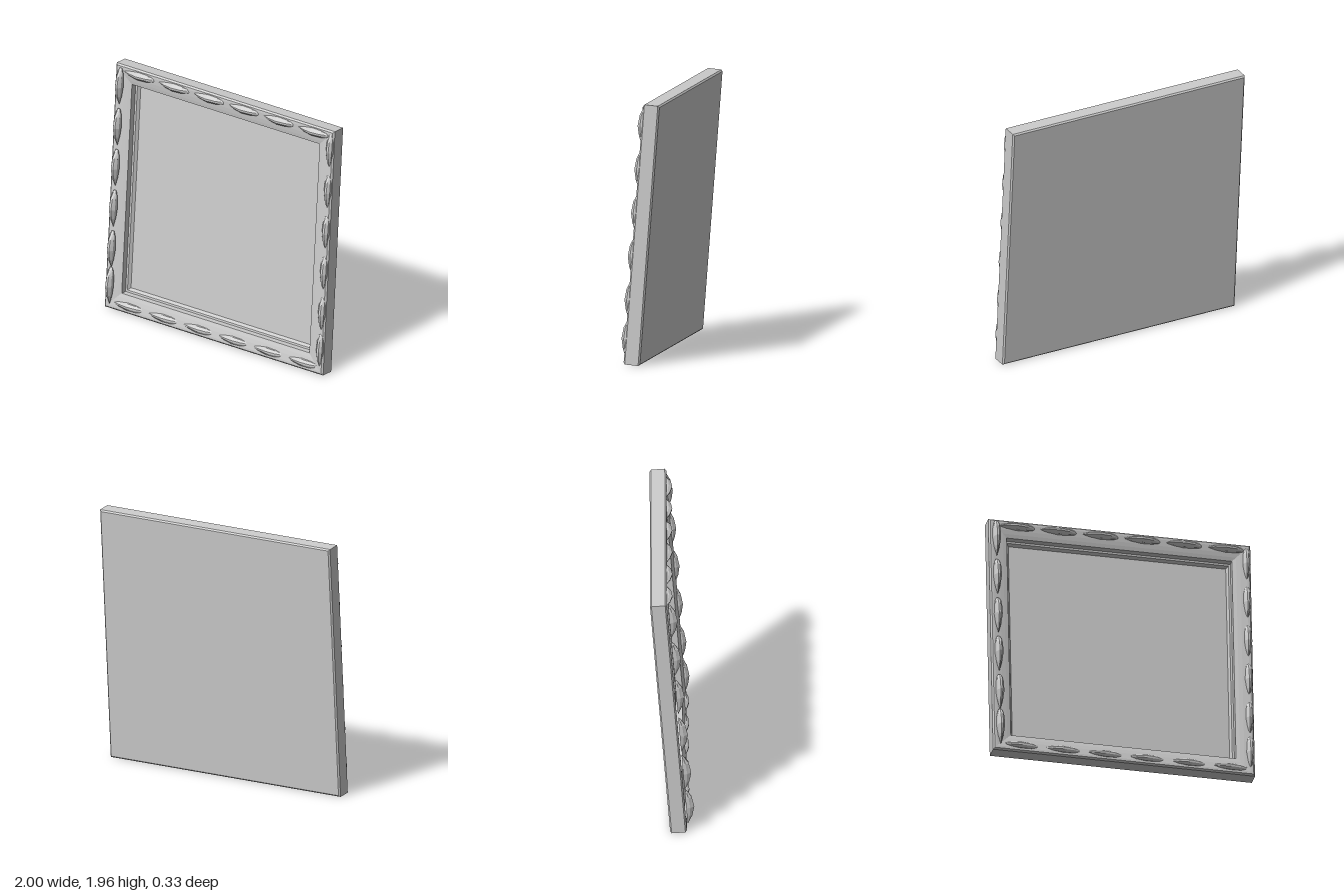
import * as THREE from 'three';

const W = 2, H = 1.957, TILT = 0.077;

// Build a flat-shaded solid from equal-length rings of points, capped at both ends
function loft(rings) {
  const n = rings[0].length, pos = [], index = [];
  rings.forEach(r => r.forEach(p => pos.push(...p)));
  for (let i = 0; i + 1 < rings.length; i++) {
    for (let j = 0; j < n; j++) {
      const a = i * n + j, b = i * n + (j + 1) % n;
      index.push(a, b, b + n, a, b + n, a + n);
    }
  }
  const last = (rings.length - 1) * n;
  for (let j = 1; j + 1 < n; j++) {
    index.push(0, j + 1, j);
    index.push(last, last + j, last + j + 1);
  }
  const g = new THREE.BufferGeometry();
  g.setAttribute('position', new THREE.Float32BufferAttribute(pos, 3));
  g.setIndex(index);
  const flat = g.toNonIndexed();
  flat.computeVertexNormals();
  return flat;
}

// Carved leaf along +y: pointed at the bottom, blunt at the top, bulging to +z
function leafGeometry(length, halfWidth, rise, base) {
  // [position along the leaf, width factor, bulge factor]
  const stations = [
    [0, 0.05, 0.03], [0.24, 0.65, 0.66], [0.5, 1, 1],
    [0.78, 0.92, 0.78], [0.93, 0.65, 0.36], [1, 0.35, 0.06],
  ];
  return loft(stations.map(([t, w, h]) => {
    const y = (t - 0.5) * length, x = halfWidth * w, z = base + rise * h;
    const mid = base + rise * h * 0.5;
    return [
      [x, y, base], [-x, y, base], [-x * 0.85, y, mid],
      [-x * 0.2, y, z], [x * 0.35, y, base + rise * h * 0.95], [x * 0.95, y, mid],
    ];
  }));
}

export function createModel() {
  const root = new THREE.Group();
  root.name = 'leaningFrame';
  const leaning = new THREE.Group();
  leaning.name = 'tiltedBody';
  leaning.rotation.x = -TILT;
  leaning.position.z = -0.014;
  root.add(leaning);
  const material = new THREE.MeshStandardMaterial({ color: 0xcccccc, flatShading: true });

  // Moulding profile [inset from the outer edge, depth], from the back to the panel
  const profile = [
    [0.011, 0], [0, 0.011], [0, 0.113], [0.012, 0.125], [0.03, 0.125],
    [0.08, 0.118], [0.11, 0.112], [0.14, 0.104], [0.14, 0.055], [0.155, 0.053], [0.17, 0.03],
  ];
  const frame = new THREE.Mesh(loft(profile.map(([w, d]) => {
    const x = W / 2 - w;
    return [[-x, w, d], [x, w, d], [x, H - w, d], [-x, H - w, d]];
  })), material);
  frame.name = 'frameAndPanel';
  leaning.add(frame);

  // Six leaves on each side; the row on the -x side stands furthest out
  const sideY = i => (i === 0 ? 0.19 : 0.155 + i * 0.327);
  const crossX = i => -0.79 + i * 0.319;
  const rows = [
    { name: 'rightLeaf', at: i => [-0.945, sideY(i)], turn: 0, rise: 0.06, base: 0.134 },
    { name: 'leftLeaf', at: i => [0.967, sideY(i)], turn: 0, rise: 0.046, base: 0.114 },
    { name: 'bottomLeaf', at: i => [crossX(i), 0.057], turn: -Math.PI / 2, rise: 0.036, base: 0.112 },
    { name: 'topLeaf', at: i => [crossX(i), H - 0.047], turn: -Math.PI / 2, rise: 0.05, base: 0.115 },
  ];
  for (const row of rows) {
    const geometry = leafGeometry(0.292, 0.03, row.rise, row.base);
    for (let i = 0; i < 6; i++) {
      const leaf = new THREE.Mesh(geometry, material);
      leaf.name = row.name;
      leaf.position.set(...row.at(i), 0);
      leaf.rotation.z = row.turn;
      leaning.add(leaf);
    }
  }
  return root;
}
